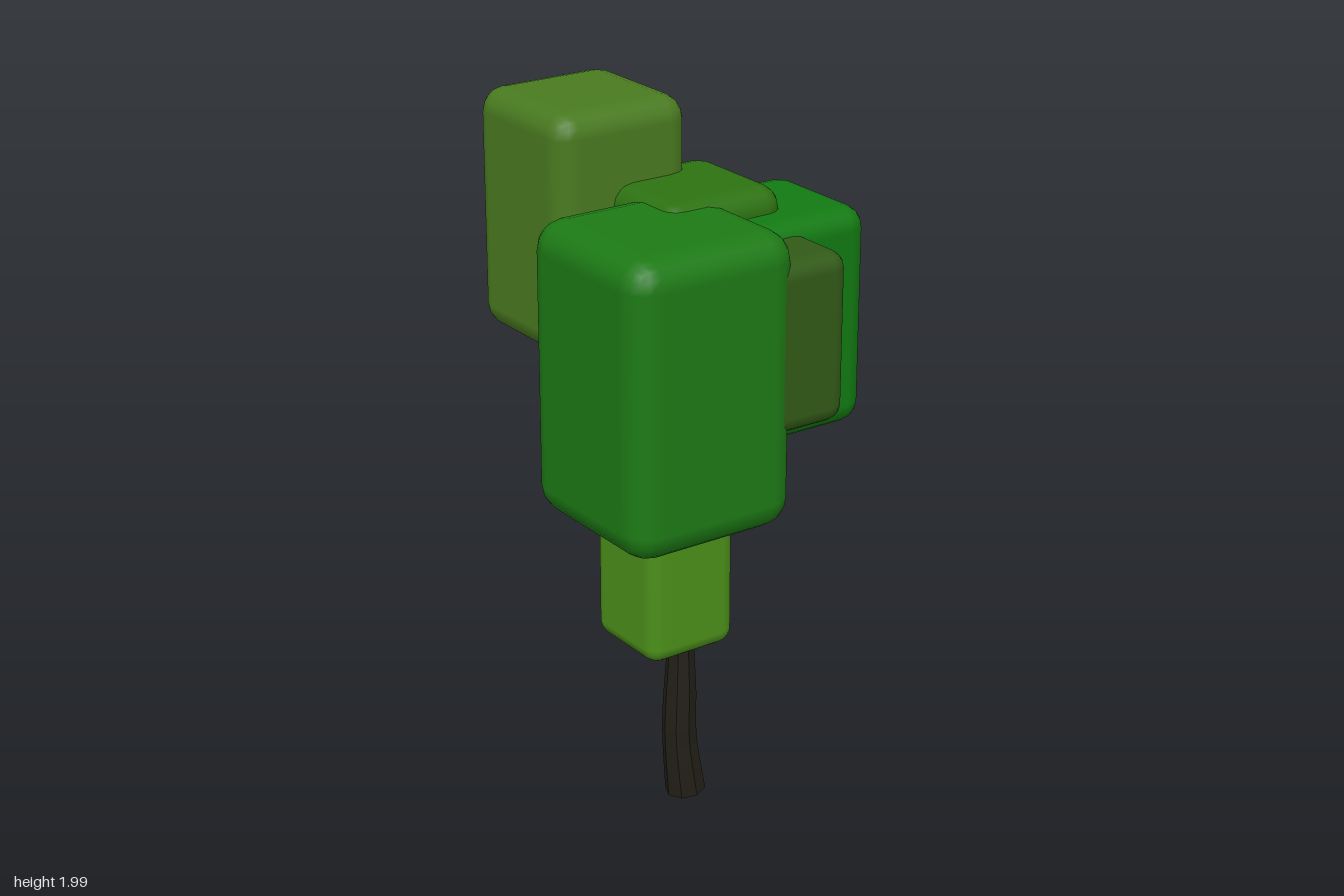
import * as THREE from 'three';
import { RoundedBoxGeometry } from 'three/addons/geometries/RoundedBoxGeometry.js';

const bark = new THREE.MeshStandardMaterial({ color: 0x221f17, flatShading: true });

// Tapered tube through points, closed by a flat cap at its start
function limb(name, points, radii, sides, segments) {
  const curve = new THREE.CatmullRomCurve3(points.map((p) => new THREE.Vector3(...p)));
  const geo = new THREE.TubeGeometry(curve, segments, 1, sides);
  const pos = geo.attributes.position;
  const v = new THREE.Vector3();
  const c = new THREE.Vector3();
  for (let i = 0; i <= segments; i++) {
    const t = i / segments;
    curve.getPointAt(t, c);
    const f = t * (radii.length - 1);
    const k = Math.min(Math.floor(f), radii.length - 2);
    const r = THREE.MathUtils.lerp(radii[k], radii[k + 1], f - k);
    for (let j = 0; j <= sides; j++) {
      const n = i * (sides + 1) + j;
      v.fromBufferAttribute(pos, n).sub(c).multiplyScalar(r).add(c);
      pos.setXYZ(n, v.x, v.y, v.z);
    }
  }
  // The second ring becomes the rim, the first one the cap centre
  curve.getPointAt(0, c);
  for (let j = 0; j <= sides; j++) {
    v.fromBufferAttribute(pos, j);
    pos.setXYZ(sides + 1 + j, v.x, v.y, v.z);
    pos.setXYZ(j, c.x, c.y, c.z);
  }
  geo.computeVertexNormals();
  const mesh = new THREE.Mesh(geo, bark);
  mesh.name = name;
  return mesh;
}

// Rounded leaf block: square base of width w, height 1.6 w, standing on y0
function leafBlock(name, color, x, y0, z, w, h = w * 1.6) {
  const geo = new RoundedBoxGeometry(w, h, w, 2, w * 0.16);
  const mesh = new THREE.Mesh(geo, new THREE.MeshStandardMaterial({ color }));
  mesh.position.set(x, y0 + h / 2, z);
  mesh.name = name;
  return mesh;
}

export function createModel() {
  const tree = new THREE.Group();
  tree.name = 'tree';

  // Trunk
  tree.add(limb('trunk', [
    [-0.02, 0.015, -0.063], [-0.02, 0.2, -0.042], [-0.02, 0.35, -0.045], [-0.02, 0.55, -0.046],
    [-0.018, 0.8, -0.043], [-0.016, 0.95, -0.04], [-0.016, 1.05, -0.025], [-0.02, 1.15, -0.005], [-0.03, 1.25, 0.01],
  ], [0.057, 0.049, 0.046, 0.037, 0.031, 0.026, 0.024, 0.021, 0.018], 8, 24));

  // Branches, each reaching into one leaf block
  const branches = [
    [[-0.02, 0.51, -0.035], [0.07, 0.545, 0.05], [0.13, 0.585, 0.1], [0.18, 0.68, 0.14]],
    [[-0.02, 0.86, -0.035], [0.05, 0.865, 0.02], [0.14, 0.9, 0.1]],
    [[-0.02, 0.95, -0.035], [0.07, 0.97, -0.025], [0.12, 1.02, -0.01], [0.14, 1.1, 0]],
    [[-0.015, 1.02, -0.03], [0.03, 1.065, -0.12], [0.08, 1.1, -0.185], [0.11, 1.2, -0.235]],
    [[-0.02, 1.14, -0.005], [-0.09, 1.22, 0.03], [-0.2, 1.29, 0.075], [-0.26, 1.4, 0.1]],
    [[-0.02, 1.09, -0.01], [0.15, 1.15, -0.05], [0.27, 1.2, -0.075], [0.31, 1.32, -0.085]],
    [[-0.016, 1.06, -0.02], [0.06, 1.12, 0.06], [0.18, 1.2, 0.17]],
  ];
  branches.forEach((p, i) => tree.add(limb('branch' + (i + 1), p, [0.021, 0.016], 6, 8)));

  // Leaf blocks
  tree.add(
    leafBlock('topLeaves', 0x497a20, -0.26, 1.35, 0.095, 0.405, 0.65),
    leafBlock('frontLeaves', 0x1d7a15, 0.214, 1.0, 0.175, 0.49),
    leafBlock('middleLeaves', 0x2d7212, 0.007, 1.22, -0.045, 0.363),
    leafBlock('backLeaves', 0x127a12, 0.1, 1.145, -0.237, 0.37),
    leafBlock('sideLeaves', 0x325a17, 0.31, 1.25, -0.085, 0.282),
    leafBlock('lowerLeaves', 0x4b8f19, 0.168, 0.627, 0.137, 0.267),
    leafBlock('innerLeaves', 0x459c2c, -0.057, 1.21, 0.047, 0.277),
    leafBlock('hiddenLeaves', 0x459c2c, 0.145, 1.03, -0.007, 0.268),
  );
  return tree;
}
